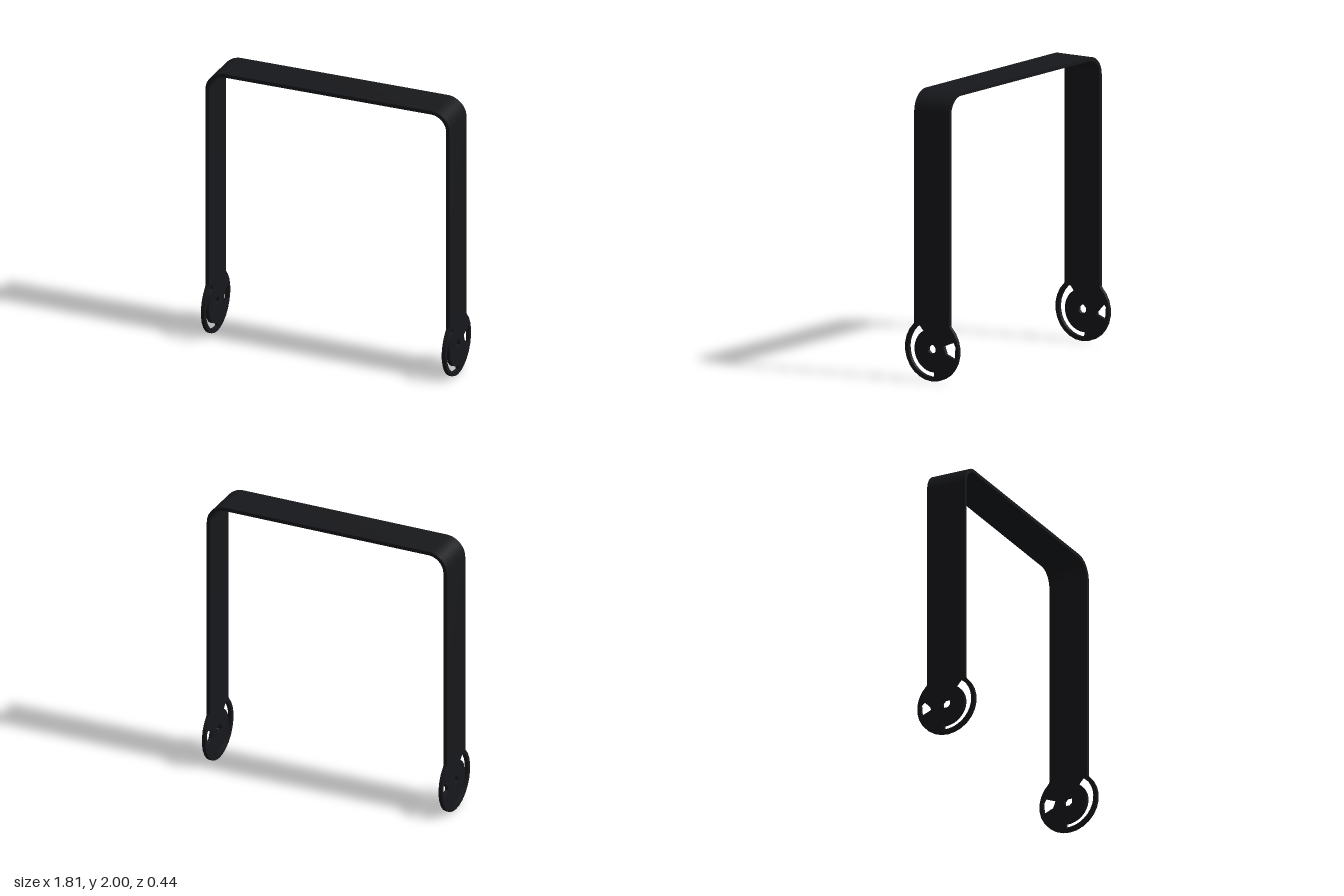
import * as THREE from 'three';
import { toCreasedNormals } from 'three/addons/utils/BufferGeometryUtils.js';

const T = 0.026;        // metal thickness
const W = 0.145;        // half width of the strap
const X = 0.905;        // half span
const JOIN = 0.4;       // height where strap meets end plate
const CY = 0.225;       // pivot height
const R = 0.222;        // end plate radius

const rad = THREE.MathUtils.degToRad;
const polar = (r, deg) => new THREE.Vector2(r * Math.cos(rad(deg)), CY + r * Math.sin(rad(deg)));

// Bent strap: U profile extruded across its width
function strapGeometry() {
  const r = 0.14, ri = r - T, s = new THREE.Shape();
  s.moveTo(X, JOIN);
  s.lineTo(X, 2 - r);
  s.absarc(X - r, 2 - r, r, 0, Math.PI / 2, false);
  s.lineTo(-X + r, 2);
  s.absarc(-X + r, 2 - r, r, Math.PI / 2, Math.PI, false);
  s.lineTo(-X, JOIN);
  s.lineTo(-X + T, JOIN);
  s.lineTo(-X + T, 2 - r);
  s.absarc(-X + r, 2 - r, ri, Math.PI, Math.PI / 2, true);
  s.lineTo(X - r, 2 - T);
  s.absarc(X - r, 2 - r, ri, Math.PI / 2, 0, true);
  s.lineTo(X - T, JOIN);
  const g = new THREE.ExtrudeGeometry(s, { depth: 2 * W, bevelEnabled: false, curveSegments: 10 });
  g.translate(0, 0, -W);
  return toCreasedNormals(g, rad(30));
}

// Round end plate with pivot hole, curved slot and small window
function plateGeometry(windowPoints) {
  const outline = [new THREE.Vector2(W, JOIN), new THREE.Vector2(-W, JOIN)];
  for (let i = 0; i <= 20; i++) outline.push(polar(R, 132 + (i / 20) * 276));
  const s = new THREE.Shape(outline);

  const pivot = [];
  for (let i = 0; i < 8; i++) pivot.push(polar(0.033, i * 45 + 22.5));

  const slot = [], n = 14;
  for (let i = 0; i <= n; i++) slot.push(polar(0.193, 57 - (i / n) * 152));
  for (let i = n; i >= 0; i--) slot.push(polar(0.14 + 0.02 * (i / n) ** 2, 60 - (i / n) * 157));

  const windowHole = windowPoints.map(([z, y]) => new THREE.Vector2(z, y));
  for (const h of [pivot, slot, windowHole]) s.holes.push(new THREE.Path(h));

  const g = new THREE.ExtrudeGeometry(s, { depth: T, bevelEnabled: false });
  g.rotateY(-Math.PI / 2);
  return toCreasedNormals(g, rad(30));
}

export function createModel() {
  const group = new THREE.Group();
  const mat = new THREE.MeshStandardMaterial({ color: 0x17181b });
  const add = (name, geo, x = 0) => {
    const m = new THREE.Mesh(geo, mat);
    m.name = name;
    m.position.x = x;
    group.add(m);
  };

  add('strap', strapGeometry());
  add('leftEndPlate', plateGeometry(
    [[-0.095, 0.255], [-0.18, 0.29], [-0.197, 0.26], [-0.19, 0.17], [-0.116, 0.2]]), X);
  add('rightEndPlate', plateGeometry(
    [[-0.12, 0.22], [-0.175, 0.28], [-0.197, 0.26], [-0.19, 0.17], [-0.116, 0.2]]), -X + T);
  return group;
}
